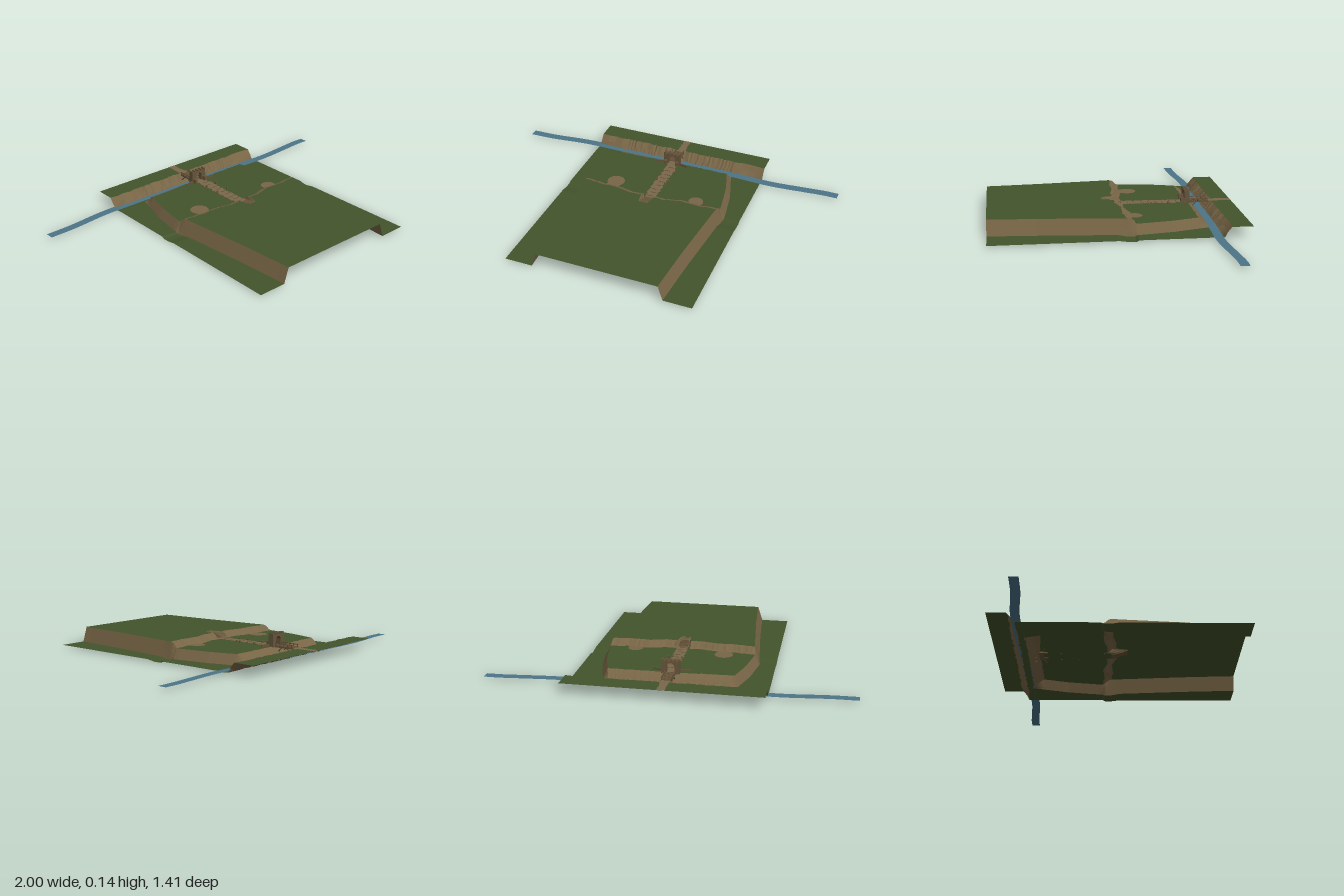
import * as THREE from 'three';

const mat = (name, color) => {
  const m = new THREE.MeshStandardMaterial({ color, side: THREE.DoubleSide });
  m.name = name;
  return m;
};
const lerp = THREE.MathUtils.lerp;

// Seeded noise in -1..1
function seeded(seed) {
  return () => {
    seed = (seed * 16807) % 2147483647;
    return (seed / 2147483647) * 2 - 1;
  };
}

// Linear interpolation through [key, value] points with rising keys
function along(points, k) {
  if (k <= points[0][0]) return points[0][1];
  for (let i = 1; i < points.length; i++) {
    const [k0, v0] = points[i - 1], [k1, v1] = points[i];
    if (k <= k1) return lerp(v0, v1, (k - k0) / (k1 - k0));
  }
  return points[points.length - 1][1];
}

const HALF_X = 0.535, HALF_Z = 0.705, LOW = 0.012, MID = 0.067, HIGH = 0.097;
const outerEdge = [[-0.51, 0.35], [-0.46, 0.365], [-0.3, 0.412], [-0.1, 0.445], [0, 0.432], [0.4, 0.395], [0.7, 0.375]];
const cliffWave = [[-0.42, -0.02], [-0.3, -0.008], [-0.2, -0.008], [-0.1, 0.01], [0, 0.005], [0.1, 0.012], [0.2, -0.016], [0.3, -0.006], [0.42, -0.018]];

function mesh(name, geometry, material, x = 0, y = 0, z = 0) {
  const m = new THREE.Mesh(geometry, material);
  m.name = name;
  m.position.set(x, y, z);
  return m;
}

// Flat-faced mesh from a grid of points, keeping the quads that pass the test
function gridMesh(name, grid, material, keep = () => true) {
  const pos = [];
  for (let r = 0; r < grid.length - 1; r++) {
    for (let c = 0; c < grid[r].length - 1; c++) {
      if (!keep(r, c)) continue;
      const a = grid[r][c], b = grid[r][c + 1], d = grid[r + 1][c], e = grid[r + 1][c + 1];
      pos.push(...a, ...b, ...e, ...a, ...e, ...d);
    }
  }
  const g = new THREE.BufferGeometry();
  g.setAttribute('position', new THREE.Float32BufferAttribute(pos, 3));
  g.computeVertexNormals();
  return mesh(name, g, material);
}

// Plateau, lower terrace, side slopes, river bed and far bank as one warped sheet
function makeTerrain(grass, earth) {
  const rnd = seeded(77);
  const OUT = 4, SLOPE = 3, IN = 60, cols = 2 * (OUT + SLOPE) + IN;
  const jitter = Array.from({ length: cols + 1 }, () => [rnd(), rnd(), rnd()]);

  // Stations from front to back: z for a column, height, cells to the next one, earth flag
  const cut = (x) => Math.abs(x) < 0.03;
  const wave = (x, c) => along(cliffWave, x) + jitter[c][0] * 0.004;
  const stations = [
    { z: () => HALF_Z, y: HIGH, n: 14 },
    { z: (x, c) => cut(x) ? 0.05 : -0.025 + wave(x, c), y: HIGH, n: 1, earth: true },
    { z: (x, c) => cut(x) ? 0.03 : -0.042 + wave(x, c), y: 0.092, n: 2, earth: true },
    { z: (x, c) => cut(x) ? -0.01 : -0.062 + wave(x, c), y: 0.073, n: 1, earth: true },
    { z: (x, c) => cut(x) ? -0.03 : -0.076 + wave(x, c), y: MID, n: 12 },
    { z: (x, c) => -0.447 + 0.012 * Math.min(1, Math.max(0, (-x - 0.1) * 5)) + jitter[c][1] * 0.003, y: MID, n: 1, earth: true },
    { z: () => -0.47, y: 0.05, n: 2, earth: true },
    { z: (x, c) => -0.507 + jitter[c][1] * 0.003, y: 0.015, n: 1 },
    { z: () => -0.515, y: 0.01, n: 1, bed: true },
    { z: (x, c) => -0.545 + jitter[c][1] * 0.006, y: 0.012, n: 1, earth: true, bed: true },
    { z: (x, c) => -0.568 + jitter[c][2] * 0.005, y: 0.038, n: 1, earth: true, bed: true },
    { z: (x, c) => -0.592 + jitter[c][2] * 0.006, y: MID, n: 2, bed: true },
    { z: () => -HALF_Z, y: MID, n: 0, bed: true },
  ];

  const rows = [];
  stations.forEach((s, i) => {
    for (let k = 0; k < Math.max(1, s.n); k++) rows.push({ a: s, b: stations[i + 1] || s, t: s.n ? k / s.n : 0 });
  });

  const grid = rows.map(({ a, b, t }) => {
    const line = [];
    for (let c = 0; c <= cols; c++) {
      const nominal = THREE.MathUtils.clamp((c - OUT - SLOPE) / IN * 0.82 - 0.41, -0.42, 0.42);
      const z = lerp(a.z(nominal, c), b.z(nominal, c), t);
      const outer = along(outerEdge, z), inner = outer - 0.028;
      const left = c < cols / 2, k = left ? c : cols - c;
      let x, rise = 1;
      if (k <= OUT) { x = lerp(HALF_X, outer, k / OUT); rise = 0; }
      else if (k <= OUT + SLOPE) { rise = (k - OUT) / SLOPE; x = lerp(outer, inner, rise); }
      else x = inner * (1 - 2 * (k - OUT - SLOPE) / IN);
      const top = lerp(a.y, b.y, t);
      // A shallow dip carries the cliff line over the low ground
      const low = a.earth && z > -0.2 ? LOW - 0.008 : LOW;
      line.push([left ? -x : x, a.bed ? top : lerp(Math.min(low, top), top, rise), z]);
    }
    return line;
  });

  const isEarth = (r, c) => {
    const a = rows[r].a, k = Math.min(c, cols - 1 - c);
    if (a.bed) return !!a.earth;
    return k >= OUT && (k < OUT + SLOPE || !!a.earth);
  };
  const g = new THREE.Group();
  g.name = 'terrain';
  g.add(gridMesh('grassLand', grid, grass, (r, c) => !isEarth(r, c)),
    gridMesh('earthSlopes', grid, earth, isEarth));
  return g;
}

// Ribbon along z or x from a list of [centreX, y, centreZ, halfWidth]
function ribbon(name, points, material, acrossX) {
  const grid = points.map(([x, y, z, w]) => acrossX
    ? [[x - w, y, z], [x + w, y, z]]
    : [[x, y, z + w], [x, y, z - w]]);
  return gridMesh(name, grid, material);
}

// Crenellated gatehouse wall with an arched passage
function makeGate(wood) {
  const g = new THREE.Group();
  g.name = 'gatehouse';
  const s = new THREE.Shape();
  s.moveTo(-0.05, 0.06);
  s.lineTo(0.05, 0.06);
  for (let i = 0; i < 9; i++) {
    const y = i % 2 ? 0.131 : 0.14, w = 0.1 / 9;
    s.lineTo(0.05 - i * w, y);
    s.lineTo(0.05 - (i + 1) * w, y);
  }
  const arch = new THREE.Path();
  arch.moveTo(-0.021, 0.0605);
  arch.lineTo(-0.021, 0.1);
  arch.absarc(0, 0.1, 0.021, Math.PI, 0, true);
  arch.lineTo(0.021, 0.0605);
  s.holes.push(arch);
  g.add(mesh('archWall', new THREE.ExtrudeGeometry(s, { depth: 0.028, bevelEnabled: false, curveSegments: 10 }), wood, -0.005, 0, -0.455));
  for (const side of [-1, 1]) {
    g.add(mesh('buttress', new THREE.BoxGeometry(0.016, 0.03, 0.022), wood, -0.005 + side * 0.036, 0.078, -0.417));
    const wing = mesh('palisade', new THREE.BoxGeometry(0.055, 0.016, 0.004), wood, -0.005 + side * 0.075, 0.073, -0.425);
    wing.rotation.y = -side * 0.25;
    g.add(wing);
  }
  return g;
}

// Timber bridge with planks, railings and diagonal braces
function makeBridge(wood) {
  const g = new THREE.Group();
  g.name = 'bridge';
  for (let i = 0; i < 11; i++) {
    g.add(mesh('plank', new THREE.BoxGeometry(0.054, 0.004, 0.0085), wood, -0.005, 0.07, -0.46 - i * 0.0105));
  }
  for (const side of [-1, 1]) {
    const x = -0.005 + side * 0.026;
    g.add(mesh('beam', new THREE.BoxGeometry(0.005, 0.006, 0.115), wood, x, 0.065, -0.512));
    g.add(mesh('railing', new THREE.BoxGeometry(0.004, 0.004, 0.115), wood, x, 0.083, -0.512));
    for (let i = 0; i < 5; i++) {
      g.add(mesh('railPost', new THREE.BoxGeometry(0.005, 0.022, 0.005), wood, x, 0.075, -0.46 - i * 0.026));
    }
    for (const end of [-1, 1]) {
      const brace = mesh('brace', new THREE.BoxGeometry(0.005, 0.042, 0.005), wood, x, 0.05, -0.515 + end * 0.031);
      brace.rotation.x = -end * 0.8;
      g.add(brace);
    }
  }
  return g;
}

export function createModel() {
  const grass = mat('grass green', 0x42542b);
  const earth = mat('earth brown', 0x786546);
  const path = mat('path brown', 0x7a684a);
  const wood = mat('timber brown', 0x66543a);
  const water = mat('river blue', 0x4b7488);
  const model = new THREE.Group();
  model.name = 'riverTerrace';
  const rnd = seeded(11);

  model.add(makeTerrain(grass, earth), makeGate(wood), makeBridge(wood));

  // River ribbon, running on past both edges of the land
  const bends = new THREE.CatmullRomCurve3([[-1, -0.513], [-0.85, -0.517], [-0.62, -0.54], [-0.4, -0.54], [0, -0.528],
    [0.35, -0.524], [0.6, -0.515], [0.8, -0.53], [0.92, -0.54], [1, -0.54]].map(([x, z]) => new THREE.Vector3(x, 0.017, z)));
  model.add(ribbon('river', bends.getPoints(60).map((p) => [p.x, p.y, p.z, 0.025]), water, false));

  // Road across the terrace with ragged edges, and the far road
  const road = [];
  for (let i = 0; i <= 30; i++) road.push([0.003 + rnd() * 0.005, MID + 0.0015, -0.025 - i * 0.0143, 0.032 + rnd() * 0.005]);
  model.add(ribbon('mainRoad', road, path, true));
  const far = [];
  for (let i = 0; i <= 8; i++) far.push([-0.002 + rnd() * 0.002, MID + 0.0015, -0.565 - i * 0.0175, 0.022 + rnd() * 0.002]);
  model.add(ribbon('farRoad', far, path, true));

  // Worn ground below the cliff
  for (const [x, z, r] of [[-0.245, -0.13, 0.052], [0.265, -0.105, 0.043]]) {
    const patch = mesh('wornGround', new THREE.CircleGeometry(r, 20).rotateX(-Math.PI / 2), earth, x, MID + 0.0015, z);
    const neck = mesh('wornNeck', new THREE.PlaneGeometry(r * 1.5, 0.05).rotateX(-Math.PI / 2), earth, x, MID + 0.001, -0.075);
    model.add(patch, neck);
  }

  // Stairs cut into the plateau
  for (let i = 0; i < 8; i++) {
    model.add(mesh('stair', new THREE.BoxGeometry(0.052, 0.008, 0.0115), wood, 0.003, 0.067 + i * 0.0036, -0.035 + i * 0.0115));
  }

  // Road crossbars, stones and the two pairs of posts
  for (let i = 0; i < 9; i++) {
    model.add(mesh('crossbar', new THREE.BoxGeometry(0.035, 0.003, 0.004), wood, 0.005 + rnd() * 0.01, 0.069, -0.06 - i * 0.04 + rnd() * 0.006));
    model.add(mesh('stone', new THREE.BoxGeometry(0.007, 0.005, 0.007), wood, (i % 2 ? 1 : -1) * (0.035 + rnd() * 0.01), 0.069, -0.08 - i * 0.037));
  }
  for (const z of [-0.23, -0.33]) {
    for (const x of [-0.025, 0.05]) model.add(mesh('roadPost', new THREE.BoxGeometry(0.009, 0.012, 0.009), wood, x, 0.072, z));
  }
  return model;
}
